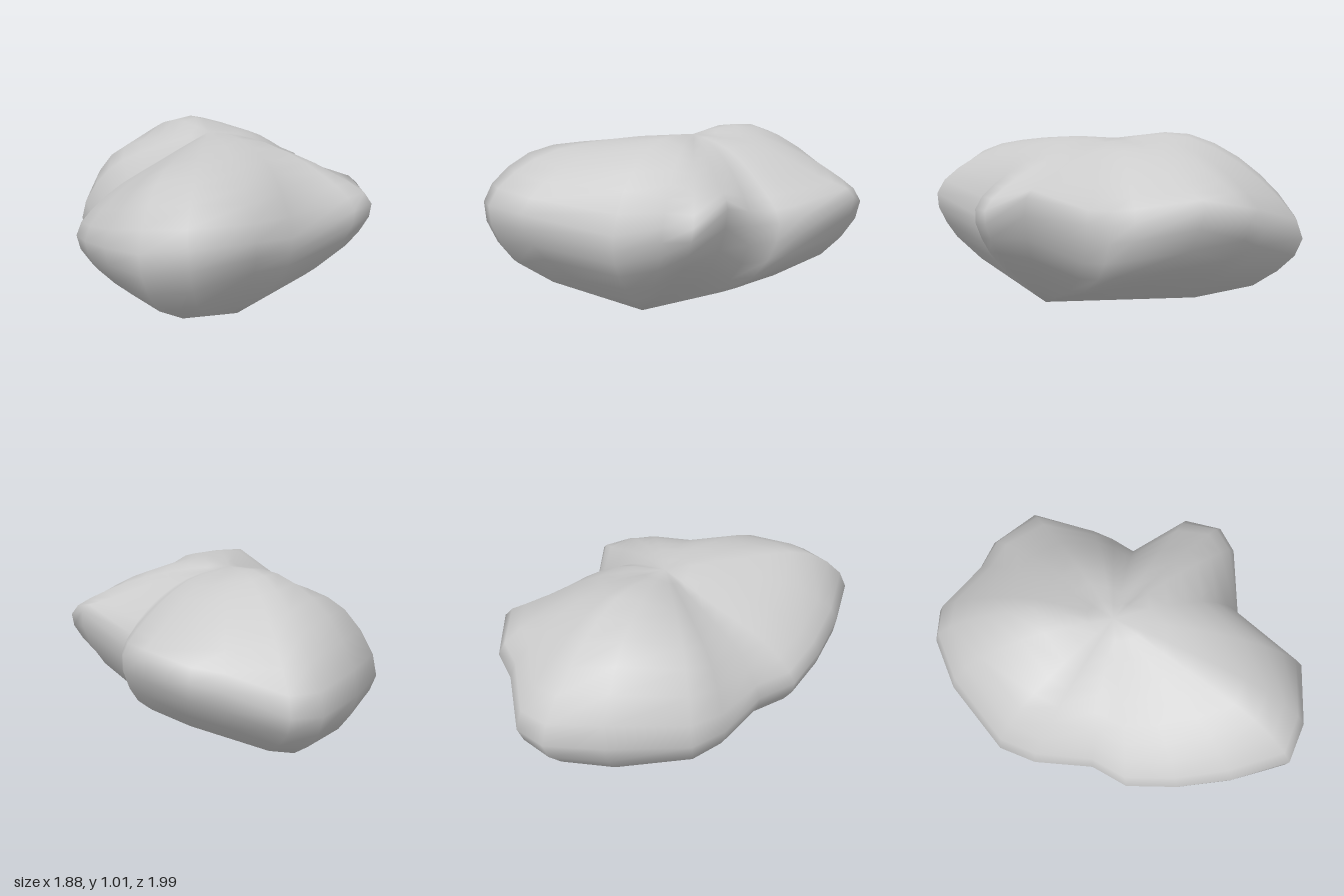
import * as THREE from 'three';

// Widest outline, running from the back round by the left side:
// x, z, then heights of the widest point, lower shoulder, upper shoulder and crown
const OUTLINE = [
  [0.43, -1.0, 0.41, 0.12, 0.77, 1.0], [0.6, -0.93, 0.43, 0.16, 0.75, 0.985],
  [0.75, -0.63, 0.53, 0.22, 0.79, 0.965], [0.87, -0.5, 0.58, 0.27, 0.78, 0.945],
  [0.94, -0.22, 0.66, 0.32, 0.77, 0.93], [0.77, 0.1, 0.58, 0.27, 0.76, 0.93],
  [0.69, 0.2, 0.56, 0.25, 0.75, 0.92], [0.57, 0.3, 0.55, 0.24, 0.76, 0.92],
  [0.61, 0.63, 0.71, 0.37, 0.79, 0.91], [0.53, 0.83, 0.64, 0.4, 0.79, 0.92],
  [0.37, 0.86, 0.63, 0.38, 0.81, 0.95], [0.0, 0.77, 0.52, 0.28, 0.84, 0.98],
  [-0.43, 0.99, 0.63, 0.37, 0.85, 0.97], [-0.76, 0.88, 0.62, 0.29, 0.87, 0.965],
  [-0.94, 0.73, 0.6, 0.26, 0.88, 0.95], [-0.93, 0.4, 0.55, 0.27, 0.78, 0.9],
  [-0.87, 0.1, 0.5, 0.25, 0.71, 0.86], [-0.77, -0.17, 0.45, 0.22, 0.66, 0.82],
  [-0.6, -0.32, 0.42, 0.2, 0.65, 0.82], [-0.47, -0.63, 0.4, 0.17, 0.71, 0.87],
  [-0.33, -0.8, 0.4, 0.15, 0.77, 0.91], [0.1, -0.97, 0.43, 0.12, 0.82, 0.99],
];
const BOTTOM = new THREE.Vector3(-0.07, 0, 0.4);
const TOP = new THREE.Vector3(0.03, 0.975, 0);
const STEPS = 15;

// A point on the way from a pole to the outline, at a given height
function between(pole, x, z, t, y) {
  return new THREE.Vector3(pole.x + (x - pole.x) * t, y, pole.z + (z - pole.z) * t);
}

// Curve from the bottom point out over the widest point and up to the top
function meridian([x, z, y, low, high, crown]) {
  return new THREE.CatmullRomCurve3([
    BOTTOM,
    between(BOTTOM, x, z, 0.82, low),
    new THREE.Vector3(x, y, z),
    between(TOP, x, z, 0.78, high),
    between(TOP, x, z, 0.4, crown),
    TOP,
  ]);
}

function rockGeometry() {
  const n = OUTLINE.length;
  const curves = OUTLINE.map(meridian);
  const points = [BOTTOM];
  for (let i = 1; i < STEPS; i++) {
    for (const curve of curves) points.push(curve.getPoint(i / STEPS));
  }
  points.push(TOP);

  const index = [];
  const at = (i, j) => 1 + (i - 1) * n + (j % n);
  const last = points.length - 1;
  for (let j = 0; j < n; j++) {
    index.push(0, at(1, j), at(1, j + 1));
    for (let i = 1; i < STEPS - 1; i++) {
      const a = at(i, j), b = at(i + 1, j), c = at(i, j + 1), d = at(i + 1, j + 1);
      index.push(a, b, c, b, d, c);
    }
    index.push(at(STEPS - 1, j), last, at(STEPS - 1, j + 1));
  }
  const geometry = new THREE.BufferGeometry().setFromPoints(points);
  geometry.setIndex(index);
  geometry.computeVertexNormals();
  return geometry;
}

export function createModel() {
  const group = new THREE.Group();
  group.name = 'rock';
  const material = new THREE.MeshStandardMaterial({ color: 0xcccccc });
  const boulder = new THREE.Mesh(rockGeometry(), material);
  boulder.name = 'boulder';
  // Rest on the ground, centred
  const box = new THREE.Box3().setFromObject(boulder);
  const centre = box.getCenter(new THREE.Vector3());
  boulder.position.set(-centre.x, -box.min.y, -centre.z);
  group.add(boulder);
  return group;
}
